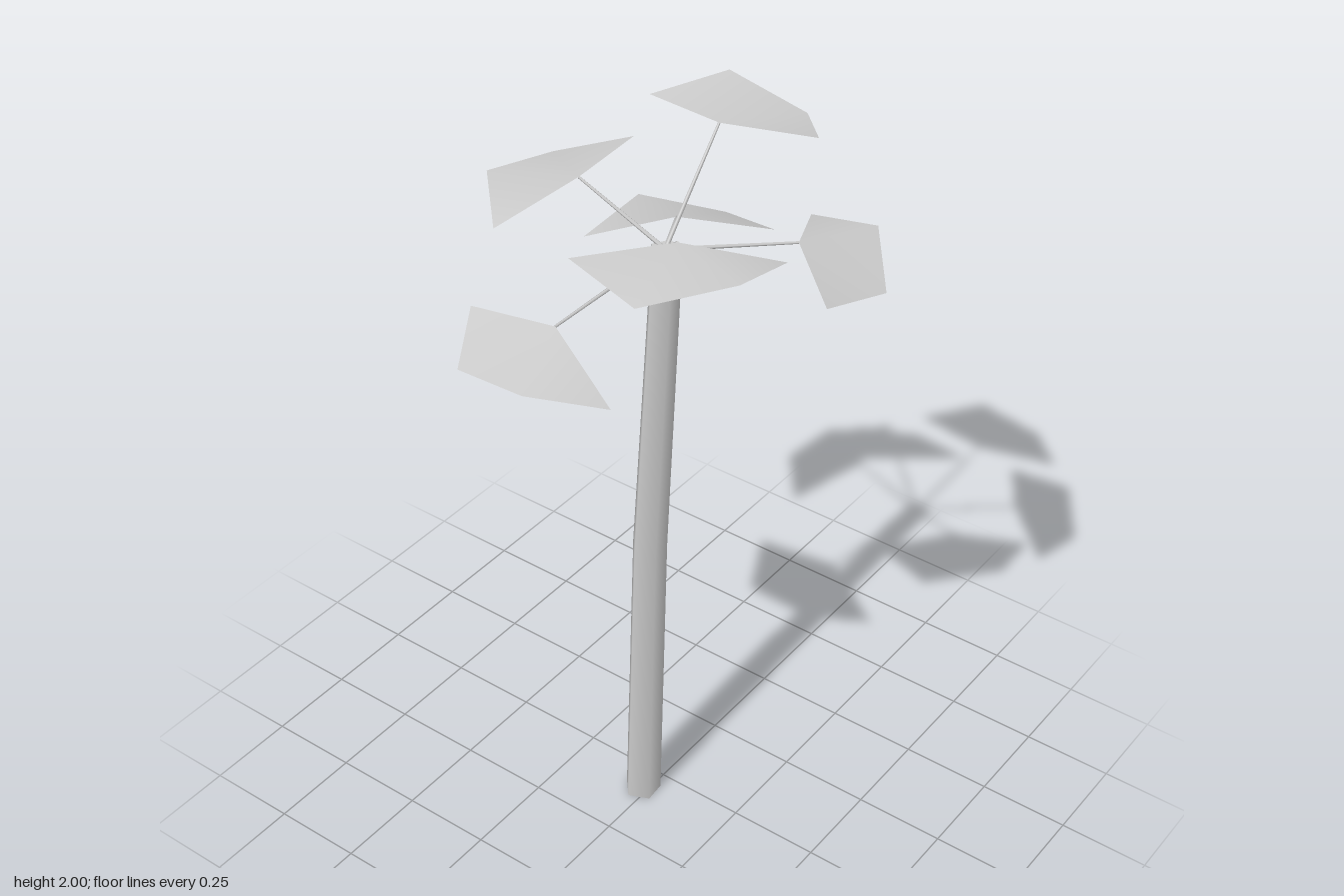
import * as THREE from 'three';

const grey = new THREE.MeshStandardMaterial({ color: 0xcccccc });
const leafGrey = new THREE.MeshStandardMaterial({ color: 0xcccccc, side: THREE.DoubleSide });
const HUB = new THREE.Vector3(0.003, 1.735, 0.004);

// Five-sided trunk: each ring of a unit cylinder is moved and scaled to its section
function makeTrunk() {
  const sections = [ // x, y, z, radius
    [-0.073, 0, -0.019, 0.051],
    [-0.052, 0.865, -0.008, 0.0475],
    [0, 1.74, 0.008, 0.04],
  ];
  const geo = new THREE.CylinderGeometry(1, 1, 2, 5, 2);
  geo.rotateY(-0.54);
  const p = geo.attributes.position;
  for (let i = 0; i < p.count; i++) {
    const [x, y, z, r] = sections[Math.round(p.getY(i)) + 1];
    p.setXYZ(i, x + p.getX(i) * r, y, z + p.getZ(i) * r);
  }
  const trunk = new THREE.Mesh(geo, grey);
  trunk.name = 'trunk';
  return trunk;
}

// Thin tapering stalk between two points
function makeStalk(from, to) {
  const dir = to.clone().sub(from);
  const geo = new THREE.CylinderGeometry(0.0035, 0.006, dir.length(), 5);
  const stalk = new THREE.Mesh(geo, grey);
  stalk.position.copy(from).addScaledVector(dir, 0.5);
  stalk.quaternion.setFromUnitVectors(new THREE.Vector3(0, 1, 0), dir.normalize());
  stalk.name = 'stalk';
  return stalk;
}

// Five-cornered leaf, pleated as a fan of three triangles from its stalk corner
function makeLeaf(drop) {
  const fold = 0.022;
  const corners = [
    [0, 0, 0],
    [0.05, drop - fold, -0.243],
    [0.2, drop + fold, -0.113],
    [0.2, drop - fold, 0.117],
    [0.048, drop + fold, 0.249],
  ];
  const geo = new THREE.BufferGeometry();
  geo.setAttribute('position', new THREE.Float32BufferAttribute(corners.flat(), 3));
  geo.setIndex([0, 2, 1, 0, 3, 2, 0, 4, 3]);
  geo.computeVertexNormals();
  const leaf = new THREE.Mesh(geo, leafGrey);
  leaf.name = 'leaf';
  return leaf;
}

// Stalk with its leaf; angle runs from +x towards +z
function makeFrond(angleDeg, reach, rise) {
  const a = THREE.MathUtils.degToRad(angleDeg);
  const tip = new THREE.Vector3(Math.cos(a) * reach, rise, Math.sin(a) * reach).add(HUB);
  const frond = new THREE.Group();
  const leaf = makeLeaf(-0.05 + 0.2 * rise);
  leaf.position.copy(tip);
  leaf.rotation.y = -a;
  frond.add(makeStalk(HUB, tip), leaf);
  frond.name = 'frond';
  return frond;
}

export function createModel() {
  const tree = new THREE.Group();
  tree.name = 'palmTree';
  tree.add(makeTrunk());

  const fronds = [ // angle, reach, rise above the trunk top
    [0, 0.212, 0.243],
    [52, 0.315, 0.014],
    [137, 0.242, 0.167],
    [190, 0.348, -0.06],
    [275, 0.279, 0.088],
    [327.5, 0.381, -0.14],
  ];
  for (const f of fronds) tree.add(makeFrond(...f));
  return tree;
}
